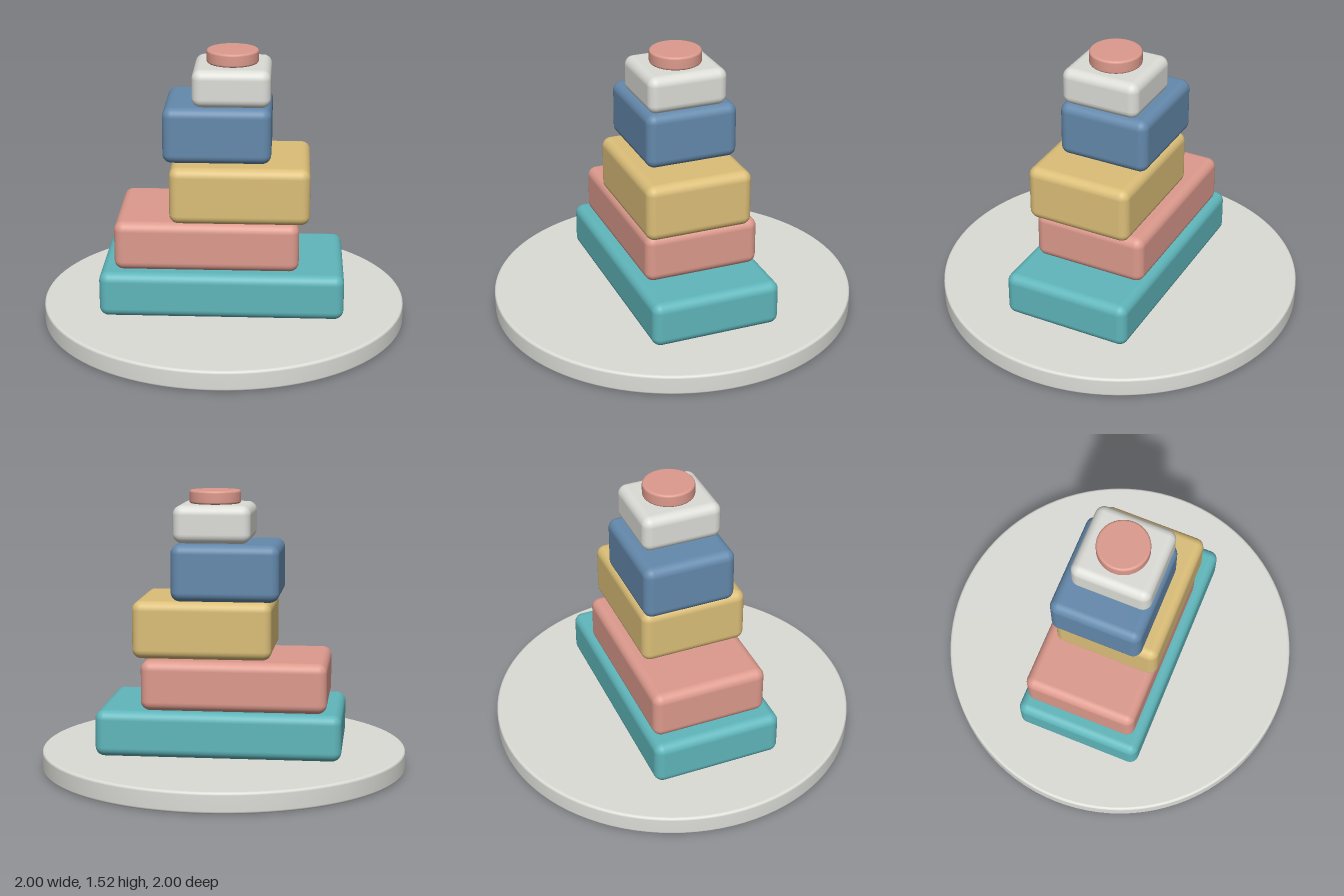
import * as THREE from 'three';
import { RoundedBoxGeometry } from 'three/addons/geometries/RoundedBoxGeometry.js';

const material = (name, color) => {
  const m = new THREE.MeshStandardMaterial({ color });
  m.name = name;
  return m;
};

// Solid disc with rounded rims: flat caps plus a smooth lathed edge
function roundedDisc(name, radius, y0, y1, bevel, mat) {
  const disc = new THREE.Group();
  disc.name = name;
  const rim = [];
  const steps = 4;
  for (const [cy, start] of [[y0 + bevel, -Math.PI / 2], [y1 - bevel, 0]]) {
    for (let i = 0; i <= steps; i++) {
      const a = start + (i / steps) * Math.PI / 2;
      rim.push(new THREE.Vector2(radius - bevel + bevel * Math.cos(a), cy + bevel * Math.sin(a)));
    }
  }
  const edge = new THREE.Mesh(new THREE.LatheGeometry(rim, 96), mat);
  edge.name = name + 'Edge';
  disc.add(edge);
  for (const [label, y, turn] of [['Top', y1, -1], ['Bottom', y0, 1]]) {
    const cap = new THREE.Mesh(new THREE.CircleGeometry(radius - bevel, 96), mat);
    cap.name = name + label;
    cap.rotation.x = turn * Math.PI / 2;
    cap.position.y = y;
    disc.add(cap);
  }
  return disc;
}

export function createModel() {
  const model = new THREE.Group();
  model.name = 'stackedBlocks';

  const pale = material('pale grey', 0xdcdcd7);
  const teal = material('teal', 0x5fb6bb);
  const coral = material('coral', 0xdd9a8d);
  const sand = material('sand yellow', 0xdbbe78);
  const blue = material('slate blue', 0x6489ac);

  // Round base plate
  model.add(roundedDisc('basePlate', 1, 0, 0.11, 0.014, pale));

  // Rounded blocks, bottom to top: name, x range, y range, z range, material
  const blocks = [
    ['tealBlock', -0.66, 0.66, 0.11, 0.36, -0.36, 0.36, teal],
    ['coralBlock', -0.58, 0.415, 0.36, 0.63, -0.335, 0.305, coral],
    ['sandBlock', -0.28, 0.47, 0.63, 0.942, -0.275, 0.317, sand],
    ['blueBlock', -0.32, 0.26, 0.942, 1.247, -0.277, 0.235, blue],
    ['paleBlock', -0.163, 0.255, 1.247, 1.45, -0.22, 0.222, pale],
  ];
  for (const [name, x0, x1, y0, y1, z0, z1, mat] of blocks) {
    const block = new THREE.Mesh(new RoundedBoxGeometry(x1 - x0, y1 - y0, z1 - z0, 5, 0.05), mat);
    block.name = name;
    block.position.set((x0 + x1) / 2, (y0 + y1) / 2, (z0 + z1) / 2);
    model.add(block);
  }

  // Small button on top
  const button = roundedDisc('topButton', 0.14, 1.45, 1.522, 0.012, coral);
  button.position.x = 0.047;
  model.add(button);

  return model;
}
